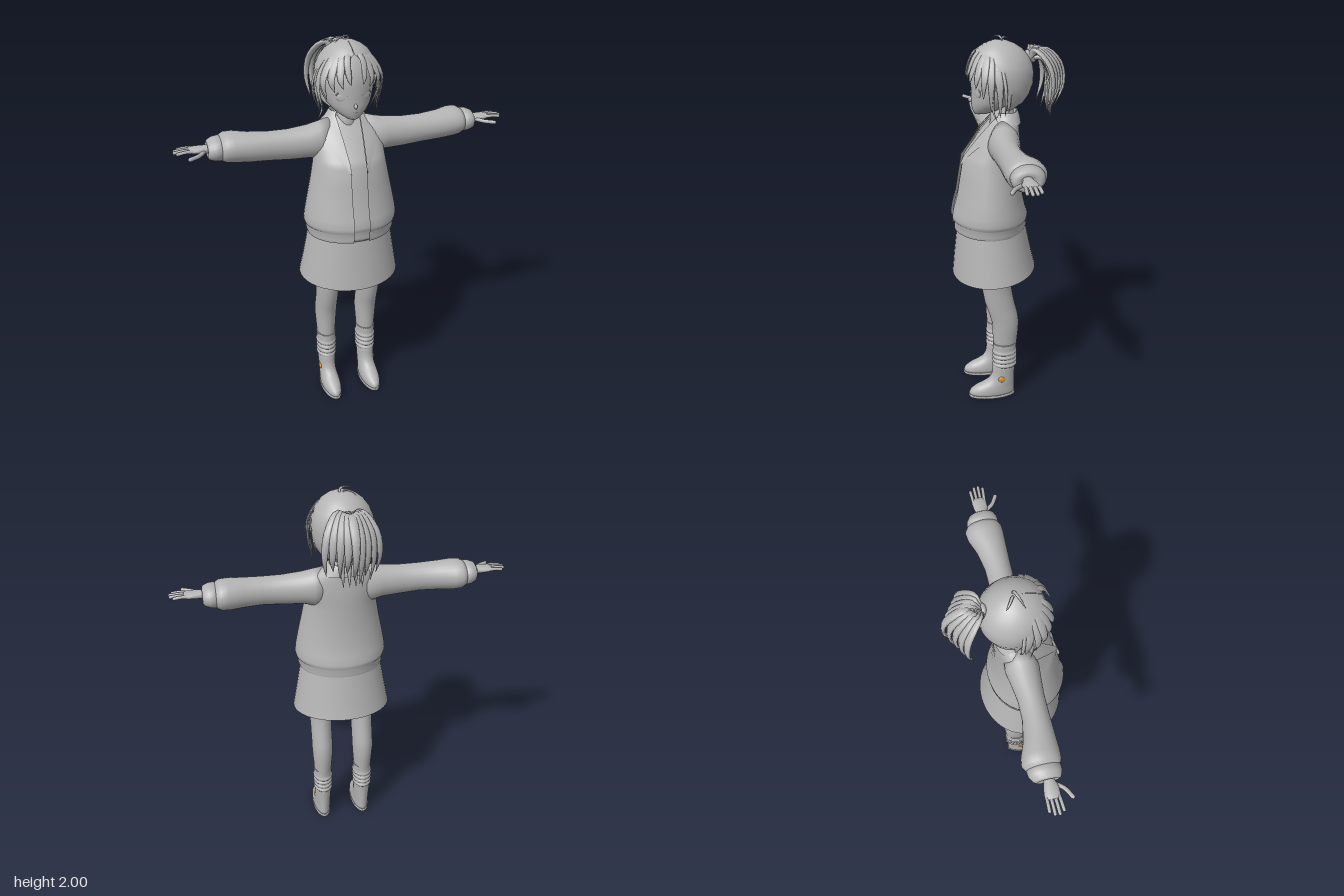
import * as THREE from 'three';

const grey = new THREE.MeshStandardMaterial({ color: 0xb4b4b4, side: THREE.DoubleSide });
const orange = new THREE.MeshStandardMaterial({ color: 0xdd9528 });
grey.name = 'plain grey';
orange.name = 'button orange';
const V = (x, y, z) => new THREE.Vector3(x, y, z);

// Skin a list of equal-length point rows; closed rows wrap round, capped rows get end fans
function loft(rows, { closed = true, caps = false } = {}) {
  const n = rows[0].length, pos = [], idx = [];
  rows.forEach(r => r.forEach(p => pos.push(p.x, p.y, p.z)));
  for (let i = 0; i < rows.length - 1; i++)
    for (let j = 0; j < (closed ? n : n - 1); j++) {
      const k = (j + 1) % n, a = i * n + j, b = i * n + k, c = a + n, d = b + n;
      idx.push(a, b, c, b, d, c);
    }
  if (caps) for (const last of [false, true]) {
    const row = last ? rows.length - 1 : 0, m = pos.length / 3, c = V(0, 0, 0);
    rows[row].forEach(p => c.addScaledVector(p, 1 / n));
    pos.push(c.x, c.y, c.z);
    for (let j = 0; j < n; j++) {
      const a = row * n + j, b = row * n + (j + 1) % n;
      last ? idx.push(a, b, m) : idx.push(b, a, m);
    }
  }
  const g = new THREE.BufferGeometry();
  g.setAttribute('position', new THREE.Float32BufferAttribute(pos, 3));
  g.setIndex(idx);
  g.computeVertexNormals();
  return g;
}

// Horizontal ellipse from half width, front z and back z; gap is the open half angle at the front
function ring(y, rx, zf, zb, { cx = 0, gap = 0, tilt = 0, n = 40 } = {}) {
  const count = gap ? n + 1 : n;
  return Array.from({ length: count }, (_, j) => {
    const t = gap + (2 * Math.PI - 2 * gap) * j / n;
    return V(cx + rx * Math.sin(t), y + tilt * (1 - Math.cos(t)) / 2, (zf + zb) / 2 + (zf - zb) / 2 * Math.cos(t));
  });
}

// Tapered flat hair lock along a curve, its flat side facing away from the head centre
const headCentre = V(0, 1.79, 0.03);
function lock(points, width, thick) {
  const curve = new THREE.CatmullRomCurve3(points), rows = [];
  for (let i = 0; i <= 14; i++) {
    const u = i / 14, p = curve.getPoint(u), T = curve.getTangent(u);
    const N = p.clone().sub(headCentre);
    N.addScaledVector(T, -N.dot(T)).normalize();
    const B = N.clone().cross(T), f = Math.pow(Math.max(0.002, Math.sin(Math.PI * (0.2 + 0.8 * u))), 0.75);
    rows.push(Array.from({ length: 8 }, (_, j) => {
      const a = j * Math.PI / 4;
      return p.clone().addScaledVector(B, width * f * Math.cos(a)).addScaledVector(N, thick * f * Math.sin(a));
    }));
  }
  return loft(rows, { caps: true });
}

// Jacket sections: y, half width, front z, back z
const torso = [
  [1.012, .222, .283, -.096], [1.03, .228, .287, -.1], [1.06, .226, .285, -.098], [1.07, .237, .293, -.104],
  [1.09, .242, .295, -.105], [1.13, .238, .288, -.093], [1.2, .225, .268, -.077], [1.3, .204, .251, -.068],
  [1.39, .187, .236, -.066], [1.42, .185, .215, -.066], [1.46, .185, .184, -.066], [1.5, .185, .155, -.064],
  [1.54, .175, .12, -.06], [1.57, .145, .095, -.058], [1.59, .115, .08, -.056], [1.61, .085, .068, -.054]];
function torsoAt(y) {
  let i = 0;
  while (i < torso.length - 2 && torso[i + 1][0] < y) i++;
  const a = torso[i], b = torso[i + 1], k = Math.min(1, (y - a[0]) / (b[0] - a[0]));
  return a.map((v, j) => v + (b[j] - v) * k);
}
const opening = y => y < 1.4 ? 0.04 : 0.04 + (y - 1.4) * 0.1;

export function createModel() {
  const model = new THREE.Group();
  const add = (name, geo, mat = grey) => {
    const m = new THREE.Mesh(geo, mat);
    m.name = name;
    model.add(m);
    return m;
  };

  // Clothes on the body
  add('jacket', loft(torso.map(([y, rx, f, b]) =>
    ring(y, rx, f, b, { gap: Math.asin(opening(y) / rx) })), { closed: false }));
  add('shirt', loft(torso.map(([y, rx, f, b]) => ring(y, rx - .015, f - .012, b + .015)), { caps: true }));
  add('skirt', loft([[.74, .264, .294, -.15, .04], [.85, .245, .283, -.128, .02], [1.03, .215, .262, -.095, 0]]
    .map(([y, rx, f, b, tilt]) => ring(y, rx, f, b, { tilt })), { caps: false }));
  add('collar', loft([[1.575, .125, .09, -.07], [1.6, .1, .08, -.066], [1.632, .078, .066, -.056], [1.628, .068, .058, -.046], [1.57, .07, .06, -.04]]
    .map(([y, rx, f, b]) => ring(y, rx, f, b, { gap: .75 })), { closed: false }));

  // Lapels lie just over the jacket front
  const edge = [[1.37, .045], [1.42, .075], [1.47, .105], [1.51, .128], [1.55, .138], [1.58, .115], [1.61, .078]];
  for (const s of [1, -1]) {
    const side = s > 0 ? 'left' : 'right';
    add(side + 'Lapel', loft(edge.map(([y, out]) => {
      const [, rx, f, b] = torsoAt(y);
      const row = [0, .25, .5, .75, 1].map(k => {
        const x = Math.min(rx * .96, opening(y) + (out - opening(y)) * k);
        return V(s * x, y, (f + b) / 2 + (f - b) / 2 * Math.sqrt(1 - (x / rx) ** 2) + .012 - .006 * k);
      });
      return s > 0 ? row : row.reverse();
    }), { closed: false }));

    // Sleeve, cuff and hand sections: x, y top, y bottom, z front, z back
    const limb = list => loft(list.map(([x, t, b, f, k]) => Array.from({ length: 28 }, (_, j) => {
      const a = j * Math.PI / 14;
      return V(s * x, (t + b) / 2 + (t - b) / 2 * Math.cos(a), (f + k) / 2 + s * (f - k) / 2 * Math.sin(a));
    })), { caps: true });
    add(side + 'Sleeve', limb([[.09, 1.6, 1.4, .1, -.04], [.15, 1.585, 1.395, .12, -.045], [.2, 1.575, 1.408, .115, -.035],
      [.3, 1.566, 1.412, .108, -.02], [.4, 1.566, 1.42, .108, -.022], [.5, 1.572, 1.422, .11, -.042],
      [.57, 1.58, 1.425, .112, -.07], [.61, 1.578, 1.43, .11, -.075], [.632, 1.565, 1.442, .1, -.062], [.638, 1.545, 1.46, .08, -.04]]));
    add(side + 'Cuff', limb([[.625, 1.55, 1.45, .085, -.04], [.635, 1.566, 1.443, .1, -.06], [.665, 1.562, 1.446, .1, -.056],
      [.69, 1.552, 1.455, .09, -.04], [.698, 1.54, 1.468, .075, -.025], [.69, 1.53, 1.48, .065, -.01]]));
    add(side + 'Hand', limb([[.65, 1.53, 1.482, .058, .002], [.7, 1.53, 1.488, .056, .004], [.73, 1.53, 1.492, .066, -.004],
      [.765, 1.528, 1.496, .066, -.008], [.785, 1.524, 1.502, .06, -.004]]));
    const digit = (name, pts, r) => {
      const curve = new THREE.CatmullRomCurve3(pts.map(([x, y, z]) => V(s * x, y, z)));
      add(name, new THREE.TubeGeometry(curve, 8, r, 8));
      const tip = add(name + 'Tip', new THREE.SphereGeometry(r, 8, 6));
      tip.position.copy(curve.getPoint(1));
    };
    [.833, .85, .852, .84].forEach((x, i) =>
      digit(side + 'Finger', [[.765, 1.513, .001 + i * .0185], [.8, 1.516, i * .02], [x, 1.512, -.001 + i * .0215]], .0085));
    digit(side + 'Thumb', [[.71, 1.505, .045], [.745, 1.502, .09], [.79, 1.5, .117]], .0105);

    // Leg, slouched sock and boot
    const cx = s * .116;
    const tower = list => loft(list.map(([y, rx, f, b]) => ring(y, rx, f, b, { cx, n: 28 })), { caps: true });
    add(side + 'Leg', tower([[.15, .04, .08, -.015], [.3, .045, .09, -.03], [.4, .053, .098, -.041], [.47, .058, .1, -.046],
      [.53, .058, .115, -.038], [.6, .058, .138, -.02], [.67, .06, .15, -.008], [.735, .062, .155, .002], [.95, .085, .18, -.02]]));
    add(side + 'Sock', tower(Array.from({ length: 29 }, (_, i) => {
      const u = i / 28, bump = i < 20 ? .008 * Math.abs(Math.sin(i * Math.PI / 5)) : .003;
      return [.195 + .15 * u, .046 + bump + .003 * u, .093 + bump, -.029 - bump];
    })));
    add(side + 'Boot', tower([[.012, .046, .228, -.022], [.03, .05, .236, -.022], [.05, .05, .226, -.022], [.068, .048, .2, -.022],
      [.085, .046, .16, -.022], [.105, .045, .125, -.022], [.135, .045, .105, -.022], [.17, .047, .1, -.024], [.205, .049, .1, -.026], [.209, .044, .094, -.02]]));
    add(side + 'Sole', tower([[0, .047, .222, -.024], [.004, .051, .234, -.026], [.016, .051, .238, -.026], [.02, .047, .232, -.022]]));
    const button = add(side + 'BootButton', new THREE.SphereGeometry(.02, 14, 10), orange);
    button.scale.x = .5;
    button.position.set(s * .156, .122, .054);
  }

  // Head and neck
  add('neck', loft([[1.52, .075, .1, -.045], [1.58, .052, .082, -.035], [1.68, .048, .088, -.035]]
    .map(r => ring(...r)), { caps: true }));
  add('face', loft([[1.617, .012, .155, .12], [1.622, .03, .163, .085], [1.637, .055, .17, .045], [1.66, .083, .176, 0], [1.69, .108, .178, -.05],
    [1.73, .125, .176, -.085], [1.78, .134, .18, -.1], [1.85, .132, .175, -.11], [1.92, .1, .135, -.08], [1.955, .05, .08, -.02]]
    .map(r => ring(...r)), { caps: true }));
  const nose = add('nose', new THREE.SphereGeometry(.012, 10, 8));
  nose.scale.set(.7, 1.1, 1.3);
  nose.position.set(0, 1.692, .179);
  const mouth = add('mouth', new THREE.TorusGeometry(.018, .002, 6, 12, 1.4));
  mouth.position.set(0, 1.676, .174);
  mouth.rotation.z = Math.PI * 1.5 - .7;
  for (const s of [1, -1]) {
    const eye = add('eye', new THREE.SphereGeometry(.026, 16, 10));
    eye.scale.set(1, .85, .25);
    eye.position.set(s * .062, 1.735, .154);
    eye.rotation.y = s * .45;
    const lash = add('eyelash', new THREE.TorusGeometry(.03, .003, 6, 14, 2.4));
    lash.position.set(s * .063, 1.732, .157);
    lash.rotation.set(0, s * .45, .37);
  }

  // Hair cap, open around the face
  add('hairCap', loft([[1.645, .075, .06, -.035, 1.5], [1.68, .115, .1, -.085, 1.45], [1.72, .138, .13, -.112, 1.35], [1.77, .151, .16, -.13, 1.2],
    [1.82, .154, .185, -.134, 1], [1.86, .149, .187, -.128, .7], [1.9, .132, .175, -.108, .3], [1.935, .105, .15, -.078, .01],
    [1.96, .072, .115, -.04, .01], [1.976, .035, .075, 0, .01], [1.98, .004, .04, .036, .01]]
    .map(([y, rx, f, b, gap]) => ring(y, rx, f, b, { gap })), { closed: false }));

  // Fringe and side locks: tip x, y, z, width
  const tips = [[.03, 1.8, .2, .016], [.065, 1.785, .192, .02], [.1, 1.765, .168, .022], [.128, 1.72, .135, .022],
    [.14, 1.66, .1, .022], [.138, 1.63, .055, .024], [.125, 1.645, .01, .026]];
  for (const s of [1, -1]) {
    tips.forEach(([x, y, z, w], i) => add('fringeLock', lock([
      V(s * .012, 1.95, .115 - i * .009), V(s * (.02 + x * .55), 1.915, .16 - i * .016),
      V(s * (x * 1.12 + .005), 1.84 - i * .008, z * .9 + .012), V(s * x, y, z)], w, .006)));
    add('sideWisp', lock([V(s * .125, 1.9, .05), V(s * .166, 1.8, .035), V(s * .165, 1.72, .03), V(s * .125, 1.625, .03)], .009, .005));
    add('longWisp', lock([V(s * .13, 1.86, .08), V(s * .155, 1.76, .09), V(s * .14, 1.67, .09), V(s * .155, 1.61, .07)], .008, .004));
  }

  // Ponytail fan with its tie
  const tie = add('hairTie', new THREE.TorusGeometry(.026, .011, 8, 18));
  tie.position.set(0, 1.895, -.118);
  tie.rotation.x = .6;
  for (let i = -4; i <= 4; i++) {
    const x = i * .033, far = 1 - Math.abs(i) * .07;
    add('ponytailLock', lock([V(x * .1, 1.885, -.105), V(x * .4, 1.93, -.185 * far), V(x * .85, 1.86, -.27 * far),
      V(x, 1.75, -.288 * far), V(x * .9, 1.64 + (i % 2) * .03, -.245 * far)], .022, .012));
    if (i % 2) add('innerPonytailLock', lock([V(x * .1, 1.88, -.11), V(x * .3, 1.89, -.17), V(x * .5, 1.8, -.215),
      V(x * .5, 1.7, -.21), V(x * .45, 1.595, -.22)], .02, .012));
  }

  // Loose curls on the crown
  add('crownCurl', lock([V(.015, 1.965, .02), V(.01, 1.992, .03), V(-.025, 1.995, .045), V(-.07, 1.972, .065)], .007, .004));
  add('smallCrownCurl', lock([V(0, 1.965, .03), V(-.01, 1.985, .02), V(-.04, 1.984, .0), V(-.06, 1.968, -.02)], .007, .004));
  return model;
}
